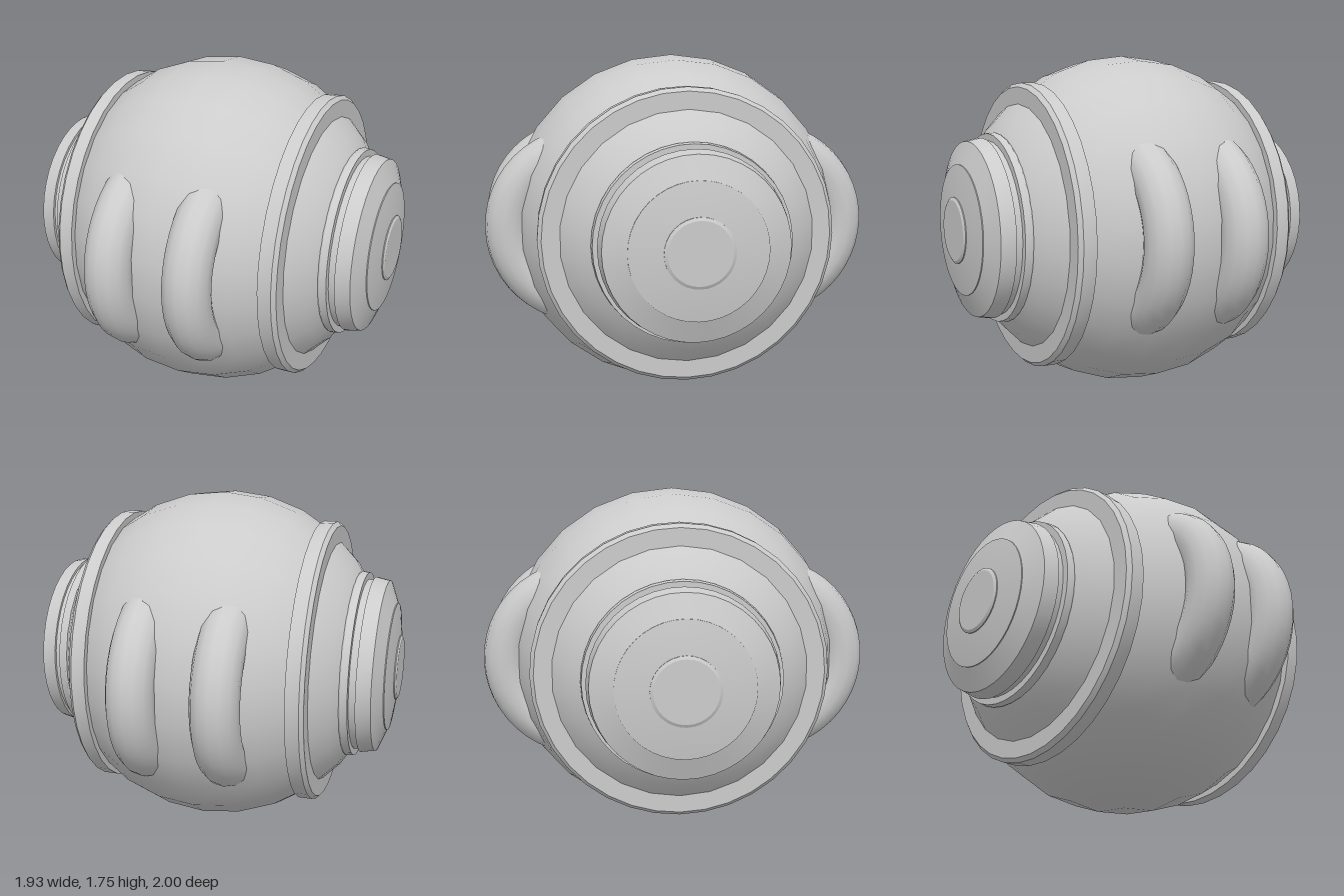
import * as THREE from 'three';
import { toCreasedNormals } from 'three/addons/utils/BufferGeometryUtils.js';

const CENTRE_Y = 0.877;
const RADIUS = 0.877;

export function createModel() {
  const model = new THREE.Group();
  model.name = 'sphericalPod';
  const material = new THREE.MeshStandardMaterial({ color: 0xcccccc });

  const add = (parent, geometry, name) => {
    const mesh = new THREE.Mesh(geometry, material);
    mesh.name = name;
    parent.add(mesh);
    return mesh;
  };

  // Turns a profile of [radius, x] pairs around the x axis
  const turn = (profile, sides, crease) => {
    const points = profile.map(([r, x]) => new THREE.Vector2(r, x));
    const geometry = new THREE.LatheGeometry(points, sides).rotateZ(-Math.PI / 2);
    return crease ? toCreasedNormals(geometry, crease) : geometry;
  };

  const body = new THREE.Group();
  body.name = 'body';
  body.position.y = CENTRE_Y;
  model.add(body);

  // Round shell
  add(body, new THREE.SphereGeometry(RADIUS, 26, 14).rotateZ(-Math.PI / 2), 'shell');

  // Raised band with a chamfered outer edge
  const band = turn([[0.69, 0.51], [0.74, 0.51], [0.74, 0.58], [0.72, 0.6], [0.6, 0.6]], 36, 0.3);

  // Stepped end cap: collar, groove, drum, dished face and centre button
  const collar = turn([[0.45, 0.71], [0.48, 0.71], [0.49, 0.73], [0.485, 0.765], [0.44, 0.765]], 40, 0.22);
  const groove = turn([[0.45, 0.75], [0.45, 0.81]], 40);
  const drum = turn([[0.43, 0.8], [0.465, 0.8], [0.45, 0.875], [0.335, 0.92], [0.335, 0.925],
    [0.17, 0.95], [0, 0.95]], 40, 0.18);
  const button = turn([[0.17, 0.935], [0.17, 0.955], [0.155, 0.963], [0, 0.963]], 32, 0.25);

  for (const [side, angle] of [['left', 0], ['right', Math.PI]]) {
    const end = new THREE.Group();
    end.name = side + 'End';
    end.rotation.y = angle;
    body.add(end);
    add(end, band, 'band');
    add(end, collar, 'collar');
    add(end, groove, 'groove');
    add(end, drum, 'capDrum');
    add(end, button, 'centreButton');
  }

  // Curved ridges, a pair on the front and a pair on the back
  const ridge = new THREE.TorusGeometry(0.4, 0.12, 14, 24, Math.PI)
    .rotateZ(-Math.PI / 2)
    .rotateY(-Math.PI / 2)
    .translate(0, 0, 0.48);
  for (const [face, angle] of [['front', 0], ['back', Math.PI]]) {
    const pair = new THREE.Group();
    pair.name = face + 'Ridges';
    pair.rotation.y = angle;
    body.add(pair);
    for (const x of [-0.21, 0.21]) add(pair, ridge, 'ridge').position.x = x;
  }

  return model;
}
